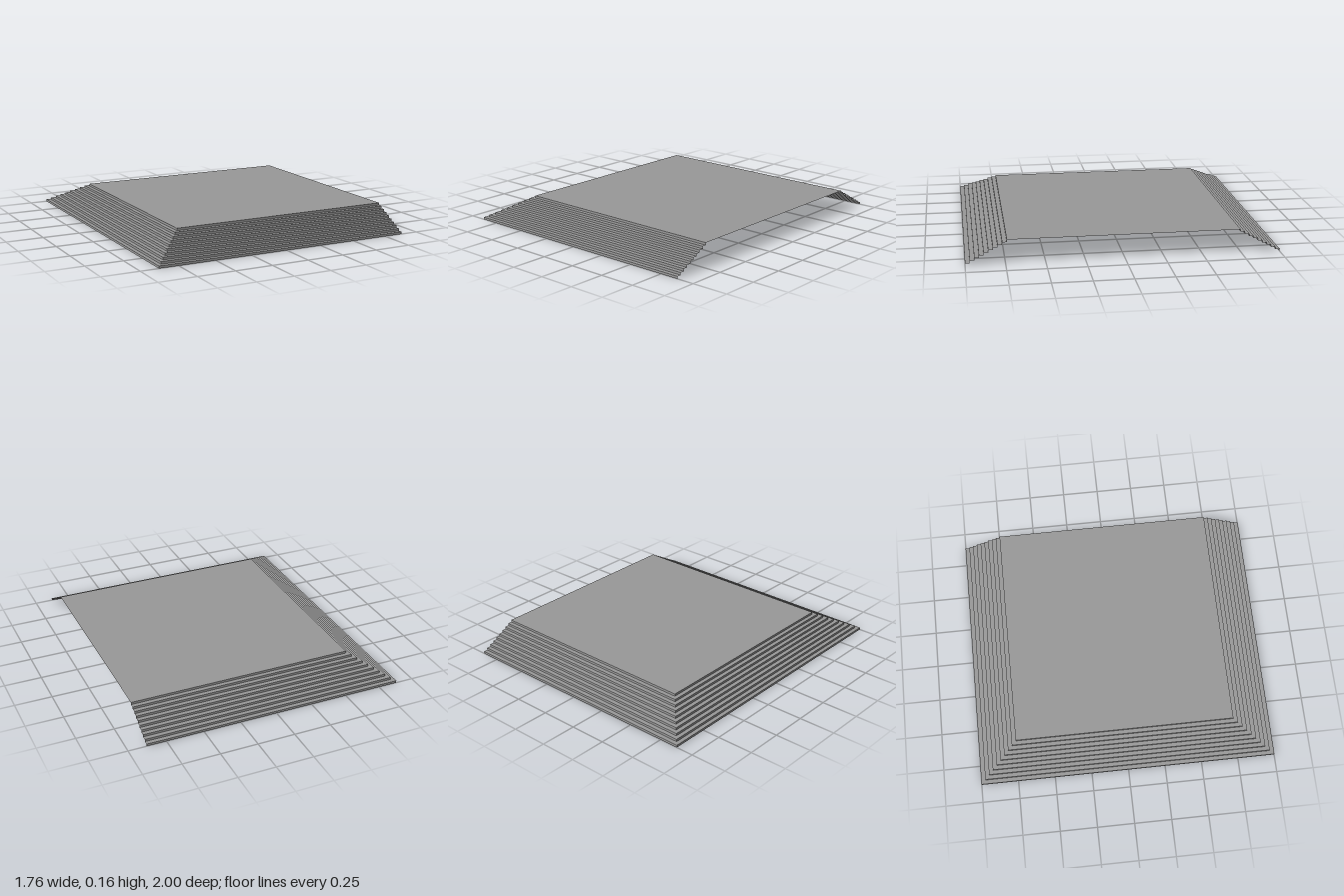
import * as THREE from 'three';

const LAYERS = 10;
const RISE = 0.0158;
const END_X = 0.88; // open end
const STEP_X = 0.027;
const STEP_Z = 0.029;

// U-shaped outline of one layer at height y, running round the three stepped sides
function outline(layer, y) {
  const x = -0.88 + layer * STEP_X;
  const z = 1 - layer * STEP_Z;
  return [[END_X, y, z], [x, y, z], [x, y, -z], [END_X, y, -z]];
}

// Flat-faced geometry from a list of four-cornered faces
function quads(faces) {
  const positions = [];
  for (const [a, b, c, d] of faces) positions.push(...a, ...b, ...c, ...a, ...c, ...d);
  const geometry = new THREE.BufferGeometry();
  geometry.setAttribute('position', new THREE.Float32BufferAttribute(positions, 3));
  geometry.computeVertexNormals();
  return geometry;
}

// Strip of three faces joining a lower or outer outline to the next one
function band(from, to) {
  return quads([0, 1, 2].map((i) => [from[i + 1], from[i], to[i], to[i + 1]]));
}

export function createModel() {
  const model = new THREE.Group();
  model.name = 'steppedPlatform';
  const grey = new THREE.MeshStandardMaterial({ color: 0x999999, side: THREE.DoubleSide });
  grey.name = 'grey';

  const add = (geometry, name) => {
    const mesh = new THREE.Mesh(geometry, grey);
    mesh.name = name;
    model.add(mesh);
  };

  // Thin risers and treads; hollow below and open at the +x end
  for (let i = 0; i < LAYERS; i++) {
    const top = (i + 1) * RISE;
    add(band(outline(i, i * RISE), outline(i, top)), `riser${i + 1}`);
    if (i < LAYERS - 1) add(band(outline(i, top), outline(i + 1, top)), `tread${i + 1}`);
  }

  // Flat deck on the uppermost layer
  const [a, b, c, d] = outline(LAYERS - 1, LAYERS * RISE);
  add(quads([[b, a, d, c]]), 'deck');

  return model;
}
